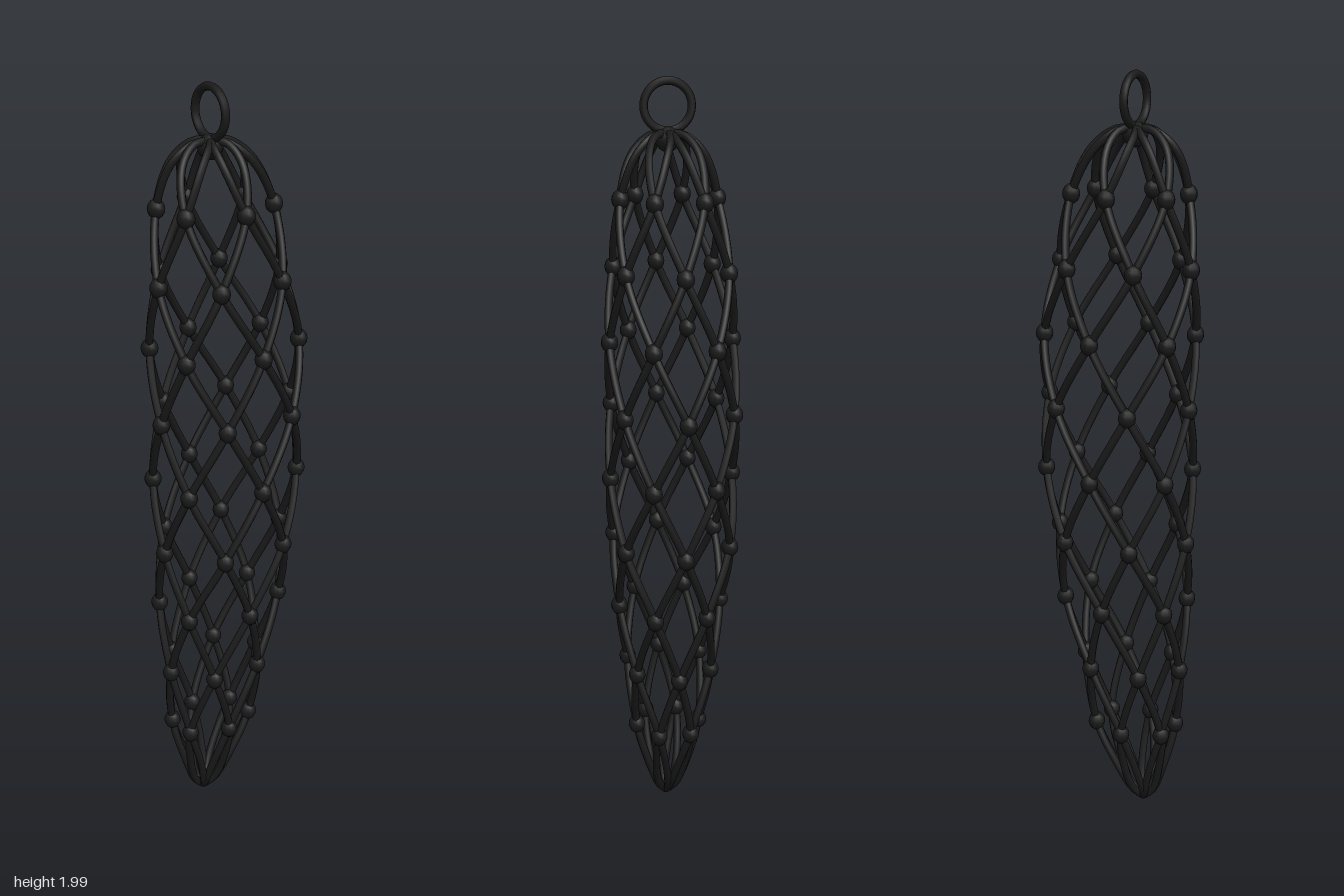
import * as THREE from 'three';

// Net levels from top to bottom: [twist step, y, centre x, x radius, z radius]
const LEVELS = [
  [0, 1.858, -0.05, 0, 0],
  [0.15, 1.852, -0.049, 0.055, 0.046],
  [0.5, 1.805, -0.045, 0.112, 0.093],
  [1, 1.692, -0.035, 0.156, 0.128],
  [2, 1.51, -0.02, 0.19, 0.155],
  [3, 1.327, -0.006, 0.207, 0.164],
  [4, 1.145, 0, 0.208, 0.167],
  [5, 0.962, -0.005, 0.204, 0.165],
  [6, 0.78, -0.012, 0.192, 0.162],
  [7, 0.598, -0.026, 0.173, 0.14],
  [8, 0.415, -0.044, 0.145, 0.118],
  [9, 0.233, -0.057, 0.115, 0.088],
  [9.5, 0.112, -0.069, 0.069, 0.055],
  [9.85, 0.04, -0.078, 0.033, 0.026],
  [10, 0.013, -0.082, 0, 0],
];
const COUNT = 6;
const STRAND_RADIUS = 0.0105;

function netPoint([, y, cx, rx, rz], angle) {
  return new THREE.Vector3(cx + rx * Math.cos(angle), y, rz * Math.sin(angle));
}

export function createModel() {
  const group = new THREE.Group();
  const black = new THREE.MeshStandardMaterial({ color: 0x1a1a1a });
  black.name = 'black';

  function add(name, geometry, parent = group) {
    const mesh = new THREE.Mesh(geometry, black);
    mesh.name = name;
    parent.add(mesh);
    return mesh;
  }

  // Strands spiralling both ways, crossing at every whole step
  const strands = new THREE.Group();
  strands.name = 'strands';
  group.add(strands);
  for (const turn of [1, -1]) {
    for (let k = 0; k < COUNT; k++) {
      const points = LEVELS.map((level) =>
        netPoint(level, (k * Math.PI) / 3 + (turn * level[0] * Math.PI) / 6));
      const curve = new THREE.CatmullRomCurve3(points);
      add('strand', new THREE.TubeGeometry(curve, 120, STRAND_RADIUS, 8), strands);
    }
  }

  // Knots where the strands cross
  const knots = new THREE.Group();
  knots.name = 'knots';
  group.add(knots);
  const knotGeometry = new THREE.SphereGeometry(0.023, 10, 8);
  knotGeometry.scale(1, 1.15, 1);
  for (const level of LEVELS) {
    if (!Number.isInteger(level[0]) || level[3] === 0) continue;
    for (let k = 0; k < COUNT; k++) {
      const knot = add('knot', knotGeometry, knots);
      knot.position.copy(netPoint(level, (k * 2 + level[0]) * Math.PI / 6));
    }
  }

  // Gathering knot under the hanging ring
  add('topKnot', new THREE.SphereGeometry(0.033, 12, 8)).position.set(-0.05, 1.842, 0);

  // Hanging ring
  const ring = add('hangingRing', new THREE.TorusGeometry(0.063, 0.011, 8, 32));
  ring.rotation.y = Math.PI / 2;
  ring.position.set(-0.05, 1.926, 0);

  return group;
}
